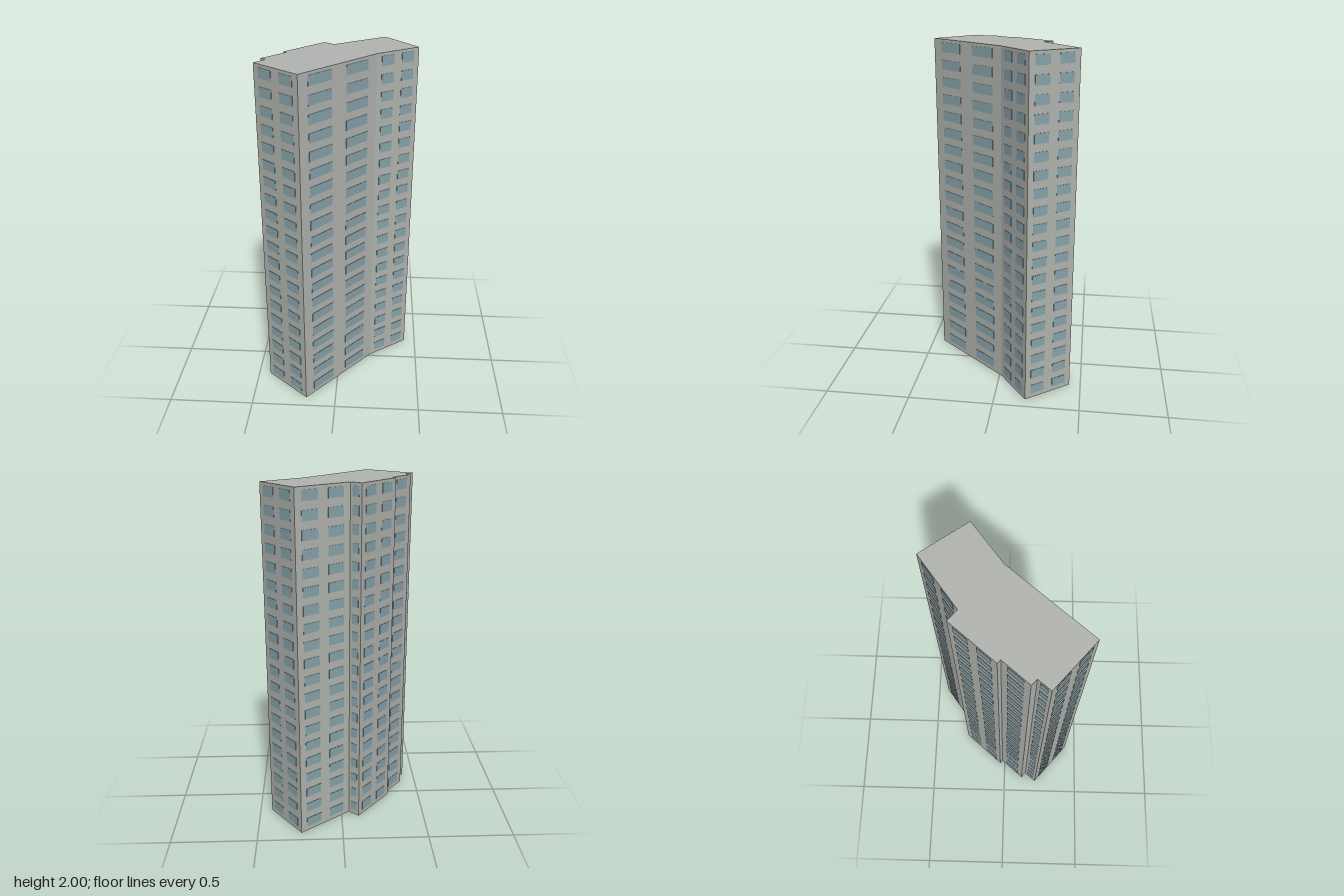
import * as THREE from 'three';
import { mergeGeometries } from 'three/addons/utils/BufferGeometryUtils.js';

const HEIGHT = 2, FLOORS = 20, STOREY = HEIGHT / FLOORS;

// Bays: [start, end] of each window as a fraction of the wall length
const PAIR = [[0.115, 0.405], [0.59, 0.88]];
const SINGLE = [[0.22, 0.78]];
const BLANK = [];

// Footprint corners [x, z] and the windows of the wall that starts there
const walls = [
  { name: 'frontLeftEnd', at: [-0.43, 0.215], bays: PAIR },
  { name: 'frontLong', at: [-0.178, 0.43], bays: PAIR },
  { name: 'frontWing', at: [0.2, -0.013], bays: PAIR },
  { name: 'wingEnd', at: [0.43, -0.183], bays: PAIR },
  { name: 'wingBack', at: [0.243, -0.433], bays: PAIR },
  { name: 'backNotch', at: [-0.045, -0.222], bays: SINGLE },
  { name: 'backLong', at: [-0.103, -0.27], bays: PAIR },
  { name: 'upperStep', at: [-0.305, -0.032], bays: BLANK },
  { name: 'backMiddle', at: [-0.287, -0.016], bays: SINGLE },
  { name: 'lowerStep', at: [-0.405, 0.122], bays: BLANK },
  { name: 'backShort', at: [-0.375, 0.149], bays: SINGLE },
];

// All windows of one wall as thin plates
function wallWindows([ax, az], [bx, bz], bays) {
  const dx = bx - ax, dz = bz - az, length = Math.hypot(dx, dz);
  const plates = [];
  for (const [start, end] of bays) {
    const mid = (start + end) / 2;
    for (let floor = 0; floor < FLOORS; floor++) {
      const plate = new THREE.BoxGeometry((end - start) * length, 0.055, 0.004);
      plate.rotateY(Math.atan2(-dz, dx));
      plate.translate(ax + dx * mid, floor * STOREY + 0.055, az + dz * mid);
      plates.push(plate);
    }
  }
  return mergeGeometries(plates);
}

export function createModel() {
  const concrete = new THREE.MeshStandardMaterial({ name: 'concrete', color: 0xb2b5b0 });
  const glass = new THREE.MeshStandardMaterial({ name: 'glass', color: 0x89a4ac });
  const model = new THREE.Group();
  model.name = 'apartmentTower';

  // Tower body, extruded upwards from the footprint
  const outline = new THREE.Shape(walls.map(({ at: [x, z] }) => new THREE.Vector2(x, -z)));
  const bodyGeometry = new THREE.ExtrudeGeometry(outline, { depth: HEIGHT, bevelEnabled: false });
  bodyGeometry.rotateX(-Math.PI / 2);
  const body = new THREE.Mesh(bodyGeometry, concrete);
  body.name = 'towerBody';
  model.add(body);

  // Windows, one mesh per wall
  walls.forEach(({ name, at, bays }, i) => {
    if (!bays.length) return;
    const next = walls[(i + 1) % walls.length].at;
    const windows = new THREE.Mesh(wallWindows(at, next, bays), glass);
    windows.name = name + 'Windows';
    model.add(windows);
  });
  return model;
}
